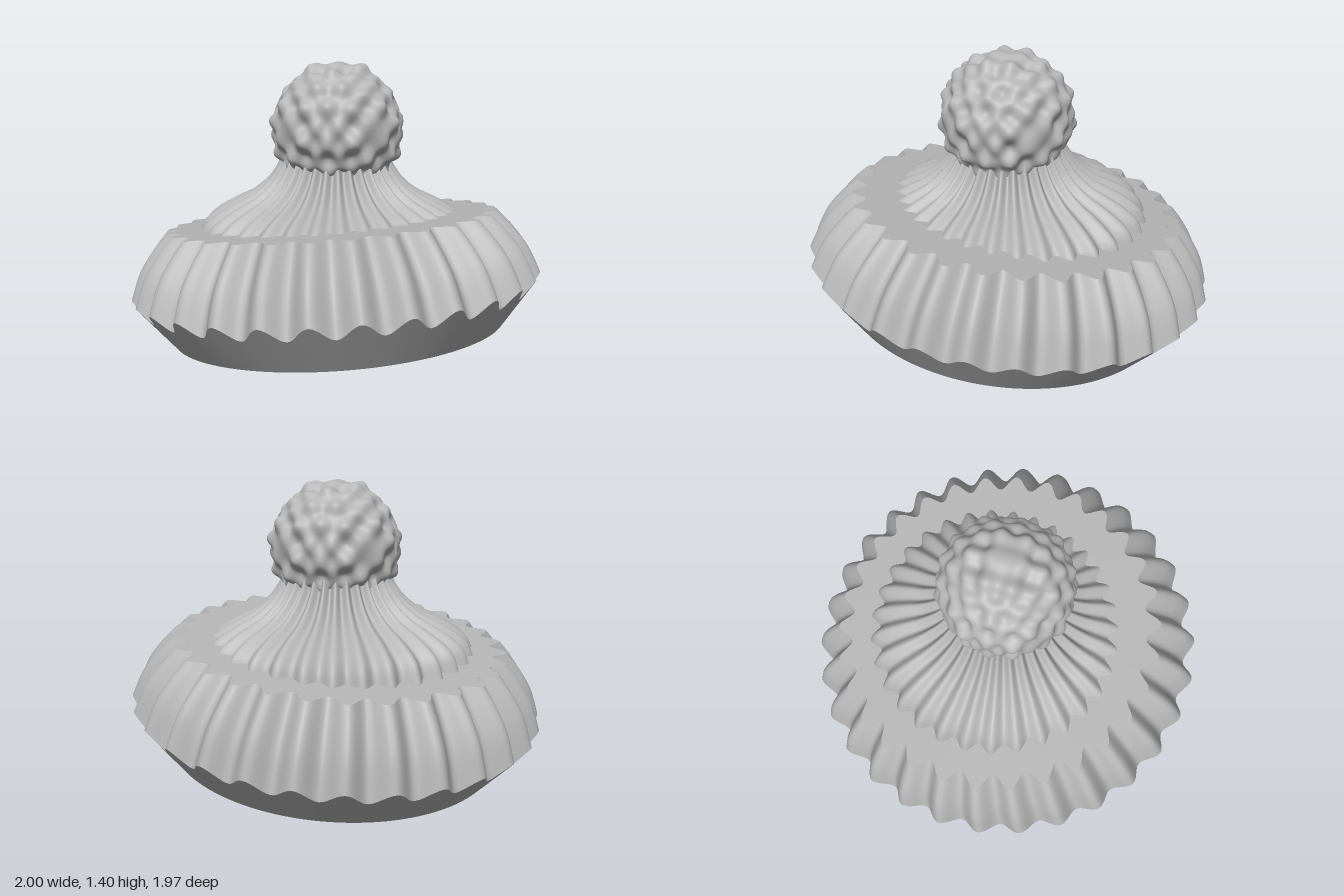
import * as THREE from 'three';

const clay = new THREE.MeshStandardMaterial({ color: 0xb6b6b6 });
clay.name = 'clay grey';

// Closed ring surface: point(row 0..1, angle) returns [radius, height]; rows run bottom to top, outside faces out.
function sweep(name, rows, segs, point) {
  const pos = [], index = [];
  for (let i = 0; i <= rows; i++) {
    for (let j = 0; j < segs; j++) {
      const a = (j / segs) * Math.PI * 2;
      const [r, y] = point(i / rows, a);
      pos.push(r * Math.sin(a), y, r * Math.cos(a));
      if (i === rows) continue;
      const p = i * segs + j, q = i * segs + ((j + 1) % segs);
      index.push(p, q, p + segs, q, q + segs, p + segs);
    }
  }
  const g = new THREE.BufferGeometry();
  g.setAttribute('position', new THREE.Float32BufferAttribute(pos, 3));
  g.setIndex(index);
  g.computeVertexNormals();
  const mesh = new THREE.Mesh(g, clay);
  mesh.name = name;
  return mesh;
}

const curve = (pts) => new THREE.SplineCurve(pts.map(([r, y]) => new THREE.Vector2(r, y)));

export function createModel() {
  const model = new THREE.Group();
  model.name = 'ruffledOrnament';

  // Tilted cushion: flat base, plain flaring underside, pleated side, flat top
  const cushion = new THREE.Group();
  cushion.name = 'tiltedCushion';
  cushion.position.set(0, 0.1, 0.03);
  cushion.rotation.x = -0.1228;
  model.add(cushion);

  const baseR = 0.816, flare = 0.8, topY = 0.535, segs = 360;
  const valley = (a) => 0.5 + 0.5 * Math.cos(30 * a);
  const sideCurve = curve([[1.0, 0.23], [0.95, 0.357], [0.882, 0.456], [0.811, topY]]);
  const side = (t, a) => {
    const p = sideCurve.getPoint(t), v = valley(a);
    const r = p.x - v * (0.052 + 0.02 * t);
    // the lower edge follows the underside cone, so it dips at each valley
    const drop = v * 0.052 / flare * (1 - t);
    return [r, p.y - drop];
  };
  cushion.add(
    sweep('base', 1, segs, (t) => [baseR * t, 0]),
    sweep('underside', 4, segs, (t, a) => {
      const [r, y] = side(0, a);
      return [baseR + (r - baseR) * t, y * t];
    }),
    sweep('pleatedSide', 12, segs, side),
    sweep('topFace', 4, segs, (t, a) => [side(1, a)[0] * (1 - t), topY]),
  );

  // Upright fluted neck rising out of the cushion
  const neckCurve = curve([[0.655, 0.54], [0.625, 0.62], [0.575, 0.67], [0.5, 0.715],
    [0.4, 0.765], [0.32, 0.83], [0.27, 0.9], [0.25, 0.95]]);
  model.add(sweep('flutedNeck', 36, 384, (t, a) => {
    const p = neckCurve.getPoint(t), w = Math.cos(32 * a);
    return [p.x + w * (0.022 - 0.01 * t), p.y + w * 0.007];
  }));

  // Ball covered in a lattice of small bumps
  const ball = new THREE.SphereGeometry(0.31, 200, 140);
  const pos = ball.attributes.position, v = new THREE.Vector3(), k = 40;
  for (let i = 0; i < pos.count; i++) {
    v.fromBufferAttribute(pos, i);
    const bump = Math.sin(k * v.x) * Math.sin(k * v.y) * Math.sin(k * v.z);
    v.setLength(0.31 + 0.025 * bump);
    pos.setXYZ(i, v.x, v.y, v.z);
  }
  ball.computeVertexNormals();
  const knob = new THREE.Mesh(ball, clay);
  knob.name = 'bumpyBall';
  knob.position.set(0, 1.085, 0.015);
  model.add(knob);

  return model;
}
